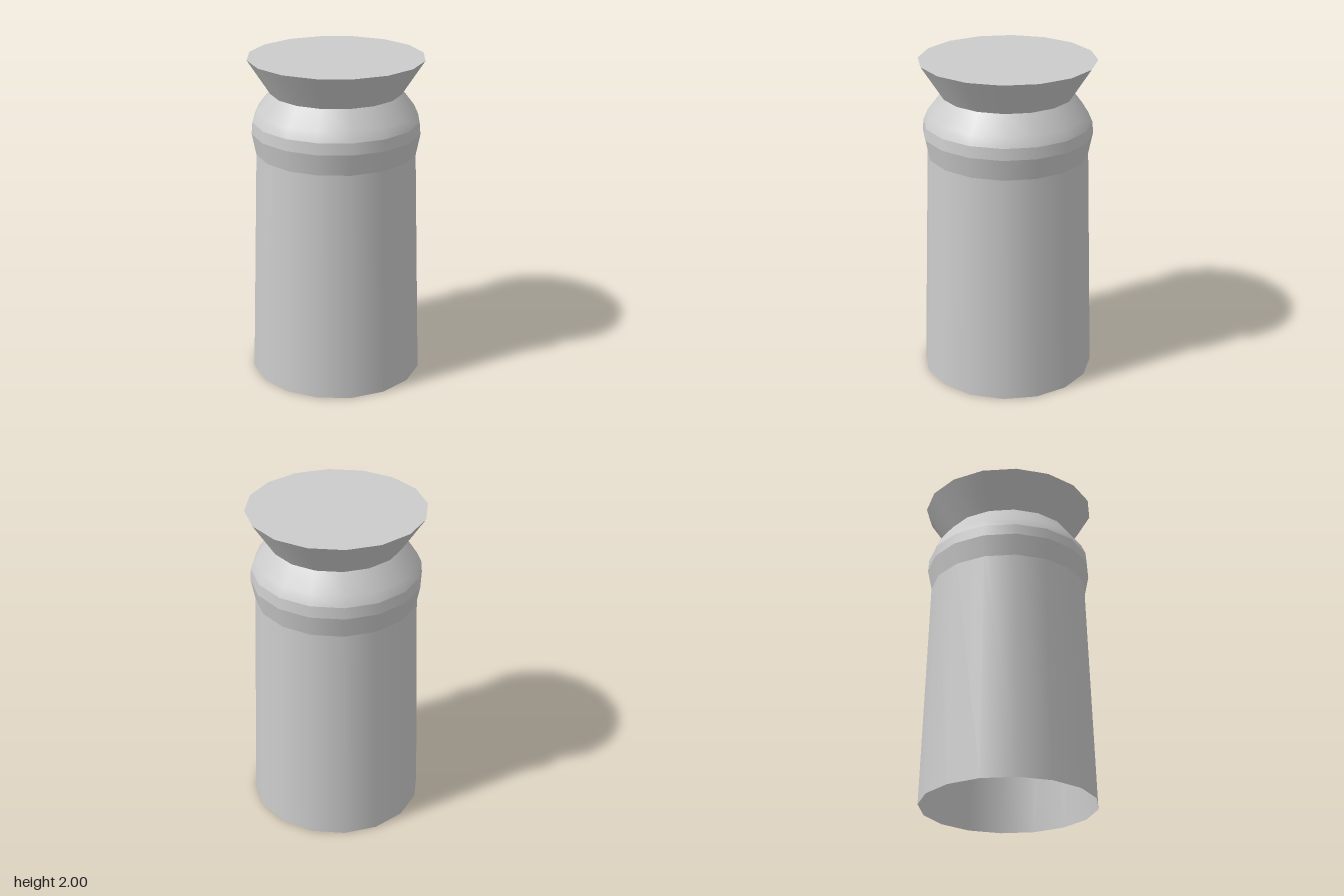
import * as THREE from 'three';

const SIDES = 16;

export function createModel() {
  const model = new THREE.Group();
  const grey = new THREE.MeshStandardMaterial({ color: 0xcccccc, side: THREE.DoubleSide });
  grey.name = 'light grey';

  // Each band is its own lathe: smooth around, sharp where bands meet.
  const addBand = (name, profile) => {
    const points = profile.map(([r, y]) => new THREE.Vector2(r, y));
    const mesh = new THREE.Mesh(new THREE.LatheGeometry(points, SIDES), grey);
    mesh.name = name;
    model.add(mesh);
  };

  // Tapered body, open at the bottom
  addBand('body', [[0.533, 0], [0.488, 1.42]]);
  // Collar swelling out above the body
  addBand('lowerCollar', [[0.488, 1.42], [0.514, 1.55]]);
  addBand('upperCollar', [[0.514, 1.55], [0.508, 1.62]]);
  // Rounded shoulder closing in to the neck
  addBand('shoulder', [[0.508, 1.62], [0.481, 1.68], [0.397, 1.79]]);
  // Flared head
  addBand('head', [[0.397, 1.79], [0.533, 2]]);

  // Flat lid on the head
  const lid = new THREE.Mesh(new THREE.CircleGeometry(0.533, SIDES), grey);
  lid.name = 'lid';
  lid.rotation.x = -Math.PI / 2;
  lid.position.y = 2;
  model.add(lid);

  return model;
}
